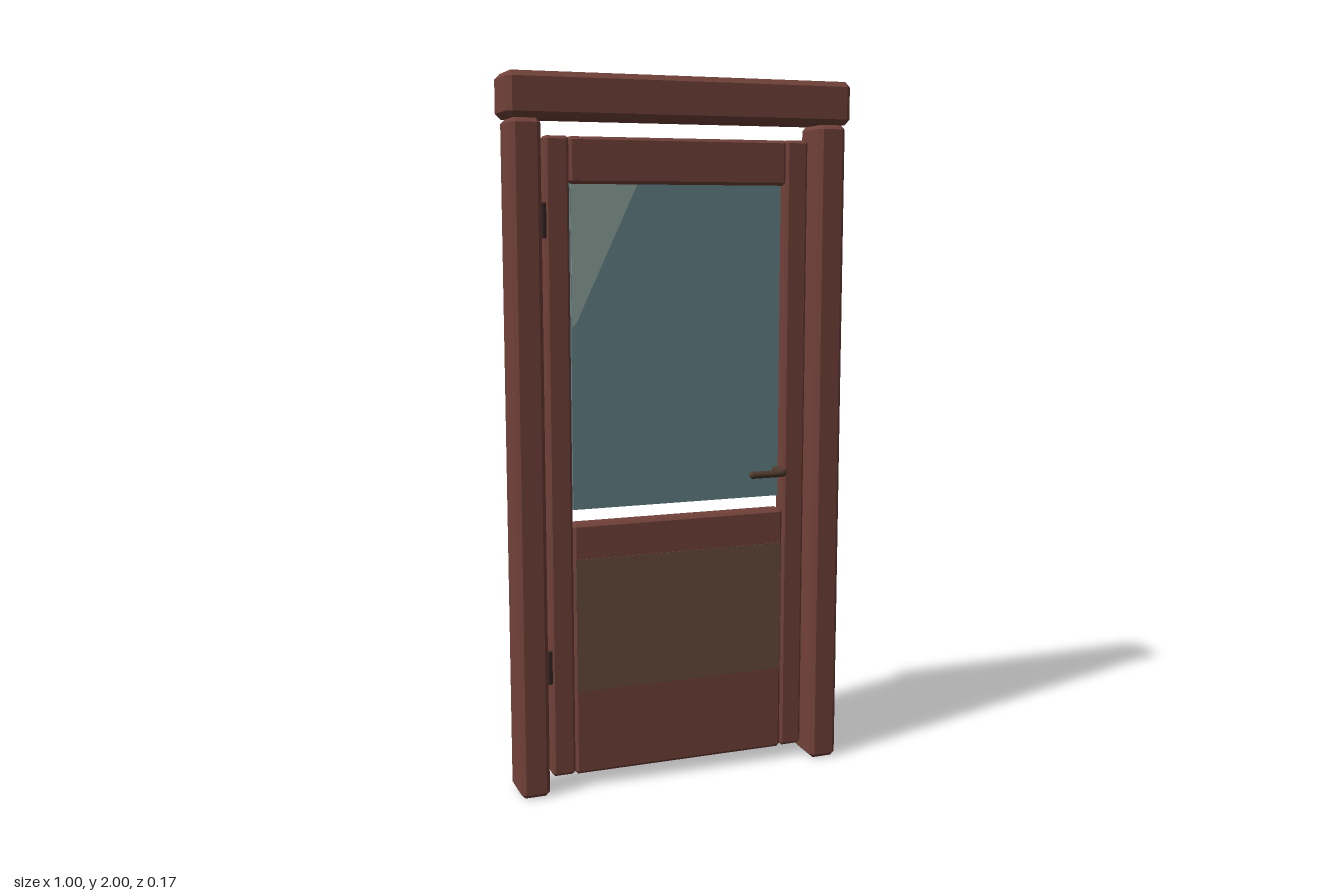
import * as THREE from 'three';
import { ConvexGeometry } from 'three/addons/geometries/ConvexGeometry.js';

const material = (name, color) => {
  const m = new THREE.MeshStandardMaterial({ color });
  m.name = name;
  return m;
};

// Box with all edges and corners cut by c
function chamferBox(w, h, d, c) {
  const points = [];
  for (const x of [-w / 2, w / 2]) for (const y of [-h / 2, h / 2]) for (const z of [-d / 2, d / 2]) {
    const sx = Math.sign(x) * c, sy = Math.sign(y) * c, sz = Math.sign(z) * c;
    points.push(
      new THREE.Vector3(x, y - sy, z - sz),
      new THREE.Vector3(x - sx, y, z - sz),
      new THREE.Vector3(x - sx, y - sy, z));
  }
  return new ConvexGeometry(points);
}

export function createModel() {
  const wood = material('reddish wood', 0x72423a);
  const inset = material('olive brown panel', 0x694d3f);
  const glass = material('blue grey glass', 0x64838a);
  const glare = material('pale reflection', 0x8fa49d);
  const bronze = material('dark bronze', 0x4f3a2c);
  const iron = material('dark iron', 0x3c2c28);

  const group = new THREE.Group();
  group.name = 'door';
  const add = (name, geometry, mat, x = 0, y = 0, z = 0, parent = group) => {
    const mesh = new THREE.Mesh(geometry, mat);
    mesh.name = name;
    mesh.position.set(x, y, z);
    parent.add(mesh);
    return mesh;
  };

  // Frame: lintel resting on two posts
  add('lintel', chamferBox(1, 0.12, 0.153, 0.015), wood, 0, 1.94, -0.008);
  for (const [side, s] of [['left', 1], ['right', -1]]) {
    add(side + 'Post', chamferBox(0.083, 1.88, 0.13, 0.012), wood, s * 0.447, 0.94, -0.005);
  }

  // Door leaf
  const leaf = new THREE.Group();
  leaf.name = 'doorLeaf';
  leaf.position.z = -0.006;
  group.add(leaf);
  const depth = 0.056;
  for (const [side, s] of [['left', 1], ['right', -1]]) {
    add(side + 'Stile', chamferBox(0.068, 1.797, depth, 0.008), wood, s * 0.354, 0.9385, 0, leaf);
  }
  add('topRail', chamferBox(0.64, 0.126, depth, 0.008), wood, 0, 1.773, 0, leaf);
  add('lowerPanel', chamferBox(0.64, 0.733, depth, 0.008), wood, 0, 0.4045, 0, leaf);
  add('insetPanel', new THREE.BoxGeometry(0.628, 0.385, 0.004), inset, 0, 0.478, depth / 2, leaf);

  // Glass pane with a slanted reflection on both faces
  add('glassPane', new THREE.BoxGeometry(0.625, 0.905, 0.02), glass, -0.002, 1.2625, 0, leaf);
  const patch = new THREE.Shape([[-0.313, 1.71], [-0.313, 1.322], [-0.3, 1.333], [-0.122, 1.71]]
    .map(([x, y]) => new THREE.Vector2(x, y)));
  add('reflection', new THREE.ExtrudeGeometry(patch, { depth: 0.024, bevelEnabled: false }),
    glare, 0, 0, -0.012, leaf);

  // Lever handle: stem out of the leaf, bent into a horizontal grip
  const handle = new THREE.Group();
  handle.name = 'handle';
  group.add(handle);
  const path = new THREE.CurvePath();
  const bend = [[0.303, 0.002], [0.303, 0.055], [0.288, 0.072], [0.202, 0.072]]
    .map(([x, z]) => new THREE.Vector3(x, 0.888, z));
  path.add(new THREE.LineCurve3(bend[0], bend[1]));
  path.add(new THREE.QuadraticBezierCurve3(bend[1], new THREE.Vector3(0.303, 0.888, 0.072), bend[2]));
  path.add(new THREE.LineCurve3(bend[2], bend[3]));
  add('lever', new THREE.TubeGeometry(path, 24, 0.0105, 10), bronze, 0, 0, 0, handle);
  add('leverTip', new THREE.SphereGeometry(0.0105, 10, 8), bronze, 0.202, 0.888, 0.072, handle);

  // Hinges between the right post and the leaf
  for (const y of [0.365, 1.612]) {
    add('hinge', new THREE.CylinderGeometry(0.012, 0.012, 0.095, 10), iron, -0.397, y, 0.018);
  }
  return group;
}
